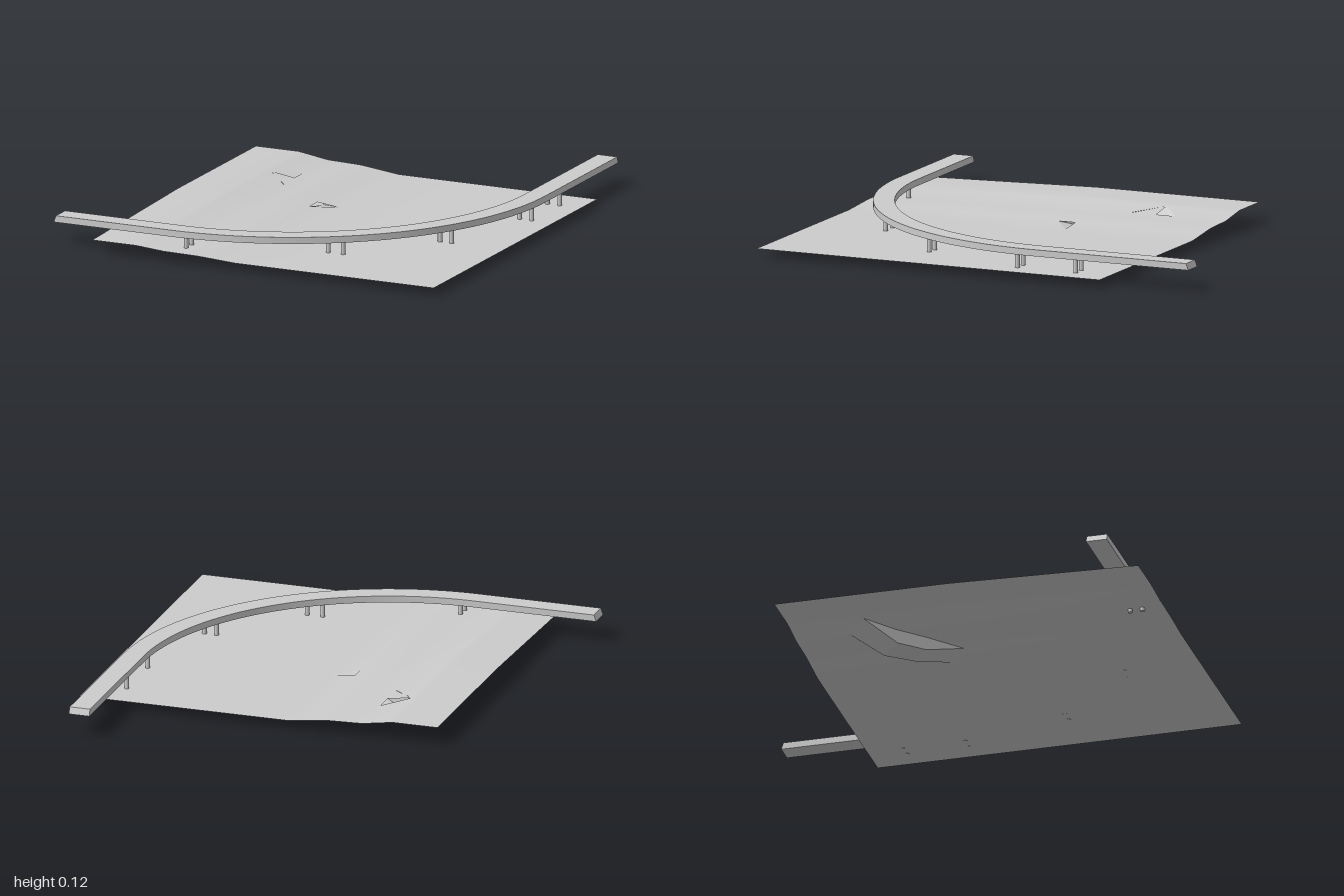
import * as THREE from 'three';
import { toCreasedNormals } from 'three/addons/utils/BufferGeometryUtils.js';

const lerp = THREE.MathUtils.lerp;
const grey = (side = THREE.FrontSide) => new THREE.MeshStandardMaterial({ color: 0xcccccc, side });

// Ground height: a plateau on the -x side, stepping down to a flat plain
const LOW = 0.036;
const SLOPE = [[-0.7, 1], [-0.5, 1], [-0.43, 0.8], [-0.36, 0.55], [-0.2, 0.45], [-0.12, 0.25], [-0.02, 0], [0.92, 0]];
function groundY(x, z) {
  const plateau = lerp(0.083, 0.06, THREE.MathUtils.clamp((z - 0.15) / 0.85, 0, 1));
  let i = 0;
  while (i < SLOPE.length - 2 && x > SLOPE[i + 1][0]) i++;
  const [x0, f0] = SLOPE[i], [x1, f1] = SLOPE[i + 1];
  return LOW + (plateau - LOW) * lerp(f0, f1, (x - x0) / (x1 - x0));
}

function surface(points, indices) {
  const g = new THREE.BufferGeometry();
  g.setAttribute('position', new THREE.Float32BufferAttribute(points.flat(), 3));
  g.setIndex(indices);
  return g;
}

// Terrain sheet on an uneven grid, with two triangular openings
function terrainGeometry() {
  const xs = [-0.7, -0.6, -0.5, -0.47, -0.43, -0.36, -0.28, -0.2, -0.12, -0.02, 0.3, 0.6, 0.92];
  // the opening at the upper end spans one grid cell
  xs.splice(xs.indexOf(-0.43), 1);
  const zs = [-0.62, -0.5, -0.38, -0.29, -0.2, -0.11, -0.02, 0.06, 0.15, 0.35, 0.6, 0.8, 1];
  const points = [], index = [];
  for (const z of zs) for (const x of xs) points.push([x, groundY(x, z), z]);
  for (let j = 0; j < zs.length - 1; j++) {
    for (let i = 0; i < xs.length - 1; i++) {
      const a = j * xs.length + i, b = a + xs.length;
      const lowerOpening = xs[i] === -0.12 && zs[j] === -0.02;
      const upperOpening = xs[i] === -0.47 && zs[j] === -0.38;
      if (!lowerOpening) index.push(a, b, a + 1);
      if (!upperOpening) index.push(b, b + 1, a + 1);
    }
  }
  const g = surface(points, index);
  g.computeVertexNormals();
  return g;
}

// Underpass: ramp, level floor, ramp, with upright walls up to the ground
function underpassGeometry() {
  const sections = [
    [[-0.47, -0.29], [-0.36, -0.38], null],
    [[-0.35, -0.17], [-0.24, -0.26], 0],
    [[-0.25, -0.07], [-0.15, -0.15], 0],
    [[-0.12, 0.06], [-0.02, -0.02], null],
  ];
  const points = [], index = [];
  for (const [l, r, floor] of sections) {
    const yl = groundY(...l), yr = groundY(...r);
    points.push([l[0], yl, l[1]], [l[0], floor ?? yl, l[1]], [r[0], floor ?? yr, r[1]], [r[0], yr, r[1]]);
  }
  for (let s = 0; s < 3; s++) {
    for (let k = 0; k < 3; k++) {
      const a = s * 4 + k, b = a + 4;
      index.push(a, b, a + 1, a + 1, b, b + 1);
    }
  }
  const g = surface(points, index).toNonIndexed();
  g.computeVertexNormals();
  return g;
}

// Raised road deck: two straights joined by a quarter circle
function roadGeometry() {
  const cx = -0.36, cz = -0.275, outer = 1.197, inner = 1.105;
  const plan = new THREE.Shape();
  plan.moveTo(cx + outer, -1);
  plan.lineTo(cx + outer, cz);
  plan.absarc(cx, cz, outer, 0, Math.PI / 2, false);
  plan.lineTo(-0.92, cz + outer);
  plan.lineTo(-0.92, cz + inner);
  plan.absarc(cx, cz, inner, Math.PI / 2, 0, true);
  plan.lineTo(cx + inner, -1);
  const g = new THREE.ExtrudeGeometry(plan, { depth: 0.029, bevelEnabled: false, curveSegments: 40 });
  g.rotateX(Math.PI / 2).translate(0, 0.124, 0);
  // lean the two end faces back a little at the top
  const p = g.attributes.position;
  for (let i = 0; i < p.count; i++) {
    if (p.getY(i) < 0.12) continue;
    p.setX(i, Math.max(p.getX(i), -0.91));
    p.setZ(i, Math.max(p.getZ(i), -0.99));
  }
  return toCreasedNormals(g, 0.5);
}

export function createModel() {
  const model = new THREE.Group();
  const add = (name, geometry, material) => {
    const mesh = new THREE.Mesh(geometry, material);
    mesh.name = name;
    model.add(mesh);
    return mesh;
  };

  add('terrain', terrainGeometry(), grey(THREE.DoubleSide));
  add('underpass', underpassGeometry(), grey(THREE.DoubleSide));
  add('roadDeck', roadGeometry(), grey());

  // Pairs of round pillars under the deck
  const pillar = new THREE.CylinderGeometry(0.01, 0.01, 0.062, 16);
  const stone = grey();
  const feet = [
    [-0.3, 0.85], [-0.3, 0.905], [0.26, 0.665], [0.33, 0.665], [0.615, 0.3], [0.67, 0.3],
    [0.76, -0.185], [0.818, -0.185], [0.76, -0.46], [0.818, -0.46],
  ];
  for (const [x, z] of feet) add('pillar', pillar, stone).position.set(x, 0.066, z);

  return model;
}
